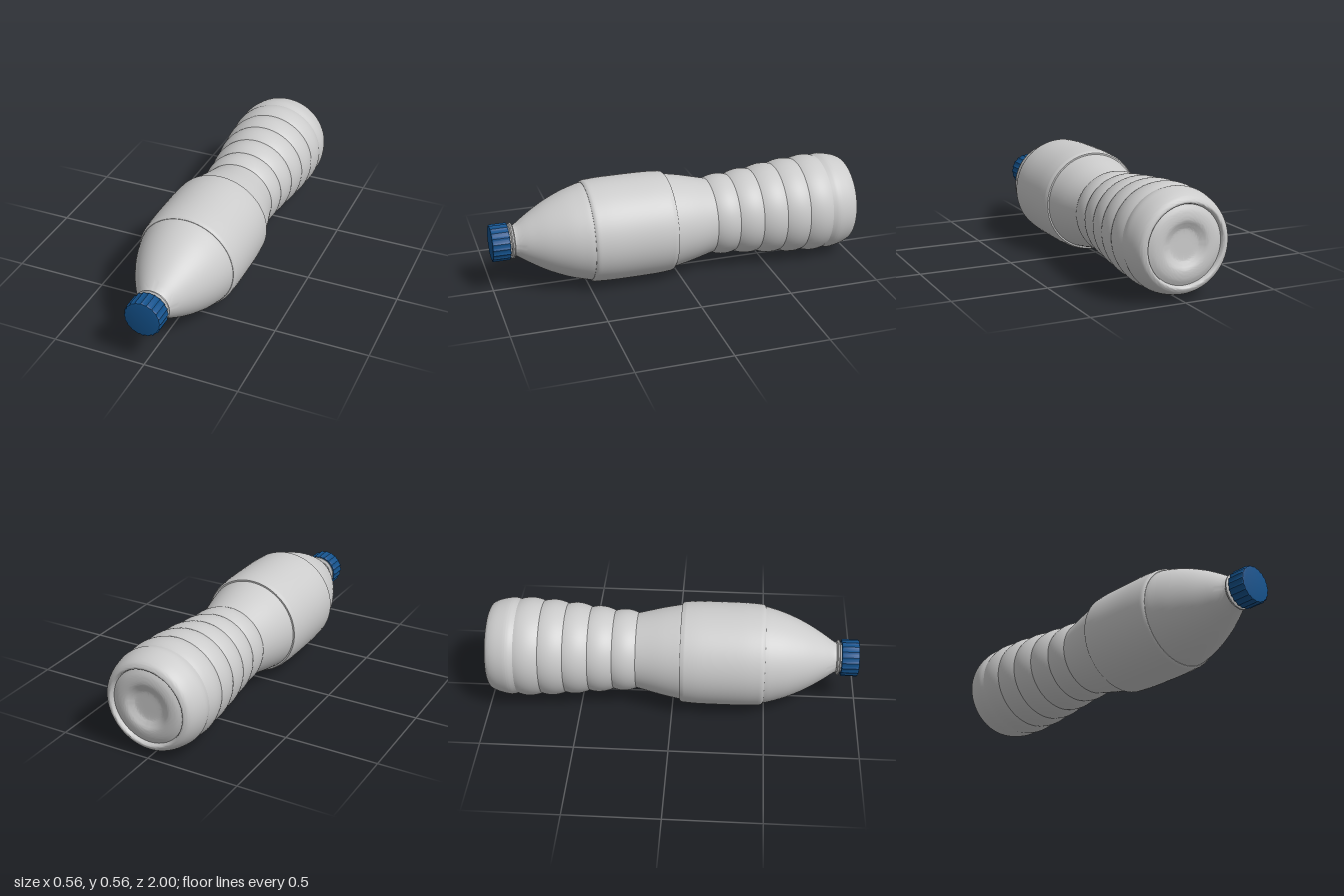
import * as THREE from 'three';
import { toCreasedNormals } from 'three/addons/utils/BufferGeometryUtils.js';

const AXIS_Y = 0.28; // height of the bottle's axis while lying down

export function createModel() {
  const model = new THREE.Group();
  const grey = new THREE.MeshStandardMaterial({ color: 0xcccccc, side: THREE.DoubleSide });
  const blue = new THREE.MeshStandardMaterial({ color: 0x14528c });

  // Revolves [radius, z] pairs around the bottle's long axis
  const revolve = (name, pairs) => {
    const points = pairs.map(([r, z]) => new THREE.Vector2(r, z));
    const geometry = toCreasedNormals(new THREE.LatheGeometry(points, 72), 0.7);
    geometry.rotateX(Math.PI / 2);
    const mesh = new THREE.Mesh(geometry, grey);
    mesh.name = name;
    mesh.position.y = AXIS_Y;
    model.add(mesh);
  };

  // Smooth curve through [radius, z] pairs
  const smooth = (pairs, count) =>
    new THREE.SplineCurve(pairs.map(([r, z]) => new THREE.Vector2(r, z)))
      .getPoints(count).map((p) => [Math.max(p.x, 0), p.y]);

  // Base: central dimple, raised ring, recessed step and standing rim
  revolve('base', [
    ...smooth([[0, -0.972], [0.07, -0.973], [0.095, -0.982], [0.125, -0.995], [0.165, -0.992], [0.198, -0.978]], 30),
    [0.203, -0.995], [0.208, -0.999],
    ...smooth([[0.215, -0.999], [0.235, -0.985], [0.252, -0.95], [0.264, -0.9], [0.266, -0.87], [0.259, -0.84]], 24),
  ]);

  // Ribbed grip: rounded bands between grooves [z, radius]
  const grooves = [[-0.84, 0.259], [-0.71, 0.254], [-0.58, 0.243], [-0.45, 0.228], [-0.32, 0.213], [-0.195, 0.205]];
  const grip = [];
  for (let i = 0; i < grooves.length - 1; i++) {
    const [z0, r0] = grooves[i];
    const [z1, r1] = grooves[i + 1];
    for (let k = i ? 1 : 0; k <= 10; k++) {
      const t = k / 10;
      const bulge = 0.013 * Math.pow(Math.max(Math.sin(Math.PI * t), 0), 0.8);
      grip.push([r0 + (r1 - r0) * t + bulge, z0 + (z1 - z0) * t]);
    }
  }
  revolve('ribbedGrip', grip);

  // Waist widening towards the label
  revolve('waist', smooth([[0.205, -0.195], [0.216, -0.15], [0.238, -0.06], [0.254, 0.02], [0.258, 0.043]], 20));

  // Slightly barrelled label panel with stepped, rounded ends
  revolve('labelPanel', [
    [0.256, 0.043], [0.266, 0.043], [0.272, 0.05],
    ...smooth([[0.274, 0.06], [0.279, 0.14], [0.28, 0.27], [0.279, 0.39], [0.274, 0.475]], 20),
    [0.271, 0.485], [0.264, 0.492], [0.259, 0.492],
  ]);

  // Shoulder tapering into the neck
  revolve('shoulder', smooth([[0.262, 0.492], [0.255, 0.525], [0.228, 0.61], [0.183, 0.71], [0.13, 0.8], [0.092, 0.856], [0.082, 0.875], [0.08, 0.89]], 36));

  // Neck with a support collar
  revolve('neckCollar', [
    [0.078, 0.878], [0.09, 0.88], [0.095, 0.885], [0.095, 0.892], [0.09, 0.897], [0.08, 0.898], [0.08, 0.92],
  ]);

  // Fluted screw cap
  const flutes = 20;
  const steps = flutes * 6;
  const outline = [];
  for (let i = 0; i < steps; i++) {
    const a = (i / steps) * Math.PI * 2;
    const r = 0.092 - 0.004 * Math.abs(Math.sin((a * flutes) / 2));
    outline.push(new THREE.Vector2(r * Math.cos(a), r * Math.sin(a)));
  }
  const capGeometry = new THREE.ExtrudeGeometry(new THREE.Shape(outline), {
    depth: 0.079, bevelEnabled: true, bevelThickness: 0.008, bevelSize: 0.007, bevelSegments: 3,
  });
  const cap = new THREE.Mesh(toCreasedNormals(capGeometry, 0.5), blue);
  cap.name = 'cap';
  cap.position.set(0, AXIS_Y, 0.913);
  model.add(cap);

  return model;
}
